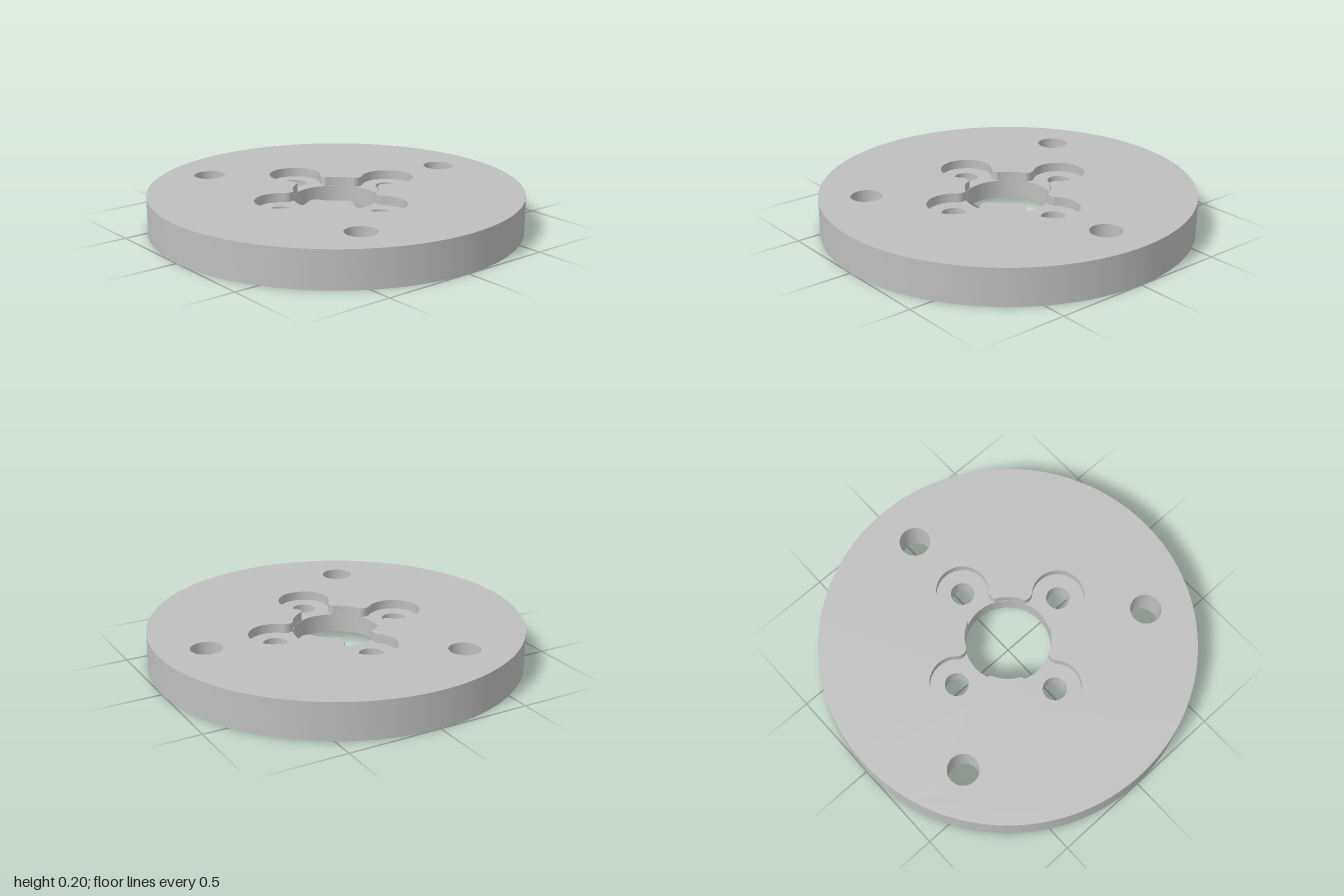
import * as THREE from 'three';
import { toCreasedNormals } from 'three/addons/utils/BufferGeometryUtils.js';

const RAD = Math.PI / 180;
const TOP = 0.2, POCKET_Y = 0.15, RECESS_Y = 0.05;
const BORE = 0.23, RECESS_R = 0.473, GROOVE_IN = 0.866, GROOVE_OUT = 0.962;

// Counter-clockwise circle of points in plan (plan y = -z)
function circle(r, cx = 0, cy = 0, n = 48) {
  return Array.from({ length: n }, (_, i) => {
    const a = (i / n) * Math.PI * 2;
    return new THREE.Vector2(cx + r * Math.cos(a), cy + r * Math.sin(a));
  });
}

// Ring of equal holes around the axis
function holeRing(count, startDeg, ringR, r) {
  return Array.from({ length: count }, (_, i) => {
    const a = startDeg * RAD + (i / count) * Math.PI * 2;
    return circle(r, ringR * Math.cos(a), ringR * Math.sin(a));
  });
}

// Flat horizontal face with holes, facing up or down
function face(outline, holes, y, up) {
  const shape = new THREE.Shape(outline);
  shape.holes = holes.map((h) => new THREE.Path(h));
  const g = new THREE.ShapeGeometry(shape);
  g.rotateX(-Math.PI / 2);
  g.translate(0, y, 0);
  if (!up) {
    g.setIndex(Array.from(g.index.array).reverse());
    g.computeVertexNormals();
  }
  return g;
}

// Upright wall along a closed outline, facing inward
function wall(pts, y0, y1) {
  const pos = [];
  pts.forEach((p, i) => {
    const q = pts[(i + 1) % pts.length];
    pos.push(p.x, y0, -p.y, p.x, y1, -p.y, q.x, y0, -q.y);
    pos.push(q.x, y0, -q.y, p.x, y1, -p.y, q.x, y1, -q.y);
  });
  const g = new THREE.BufferGeometry();
  g.setAttribute('position', new THREE.Float32BufferAttribute(pos, 3));
  return toCreasedNormals(g, 25 * RAD);
}

// Bore outline with four round pockets opening into it through filleted necks
function pocketOutline() {
  const pocketR = 0.14, pocketC = 0.363, filletR = 0.05, fu = 0.235, fv = 0.14;
  const tangent = Math.atan2(fv, pocketC - fu), meet = 120 * RAD;
  const phi = Math.atan2(fv - filletR * Math.sin(meet), fu + filletR * Math.cos(meet));
  const path = new THREE.Path();
  for (let k = 0; k < 4; k++) {
    const t = (k * Math.PI) / 2, c = Math.cos(t), s = Math.sin(t);
    const arc = (u, v, r, a0, a1, cw) =>
      path.absarc(u * c - v * s, u * s + v * c, r, a0 + t, a1 + t, cw);
    arc(fu, -fv, filletR, meet, tangent, true);
    arc(pocketC, 0, pocketR, tangent - Math.PI, Math.PI - tangent, false);
    arc(fu, fv, filletR, -tangent, -meet, true);
    arc(0, 0, BORE, phi, Math.PI / 2 - phi, false);
  }
  const out = [];
  for (const p of path.getPoints(12)) {
    if (!out.length || p.distanceTo(out[out.length - 1]) > 0.002) out.push(p);
  }
  if (out[0].distanceTo(out[out.length - 1]) < 0.002) out.pop();
  return out;
}

export function createModel() {
  const group = new THREE.Group();
  group.name = 'flangeDisc';
  const grey = new THREE.MeshStandardMaterial({ color: 0xbfbfbf });
  grey.name = 'grey metal';
  const add = (name, geometry) => {
    const mesh = new THREE.Mesh(geometry, grey);
    mesh.name = name;
    group.add(mesh);
  };

  const bolts = holeRing(3, 90, 0.75, 0.083);
  const screws = holeRing(4, 0, 0.363, 0.063);
  const bore = circle(BORE, 0, 0, 96);
  const recess = circle(RECESS_R, 0, 0, 128);
  const pockets = pocketOutline();

  // Outer rim with the round ring groove underneath
  const mid = (GROOVE_IN + GROOVE_OUT) / 2, gr = (GROOVE_OUT - GROOVE_IN) / 2;
  const profile = [];
  for (let i = 0; i <= 16; i++) {
    const a = Math.PI * (1 - i / 16);
    profile.push(new THREE.Vector2(mid + gr * Math.cos(a), gr * Math.sin(a)));
  }
  profile.push(new THREE.Vector2(1, 0), new THREE.Vector2(1, TOP));
  add('rimAndGroove', toCreasedNormals(new THREE.LatheGeometry(profile, 128), 30 * RAD));

  // Top side
  add('topFace', face(circle(1, 0, 0, 128), [pockets, ...bolts], TOP, true));
  add('pocketWall', wall(pockets, POCKET_Y, TOP));
  add('pocketFloor', face(pockets, [bore, ...screws], POCKET_Y, true));

  // Underside
  add('bottomFace', face(circle(GROOVE_IN, 0, 0, 128), [recess, ...bolts], 0, false));
  add('recessWall', wall(recess, 0, RECESS_Y));
  add('recessFloor', face(recess, [bore, ...screws], RECESS_Y, false));

  // Hole walls
  add('boreWall', wall(bore, RECESS_Y, POCKET_Y));
  bolts.forEach((h) => add('boltHole', wall(h, 0, TOP)));
  screws.forEach((h) => add('screwHole', wall(h, RECESS_Y, POCKET_Y)));
  return group;
}
